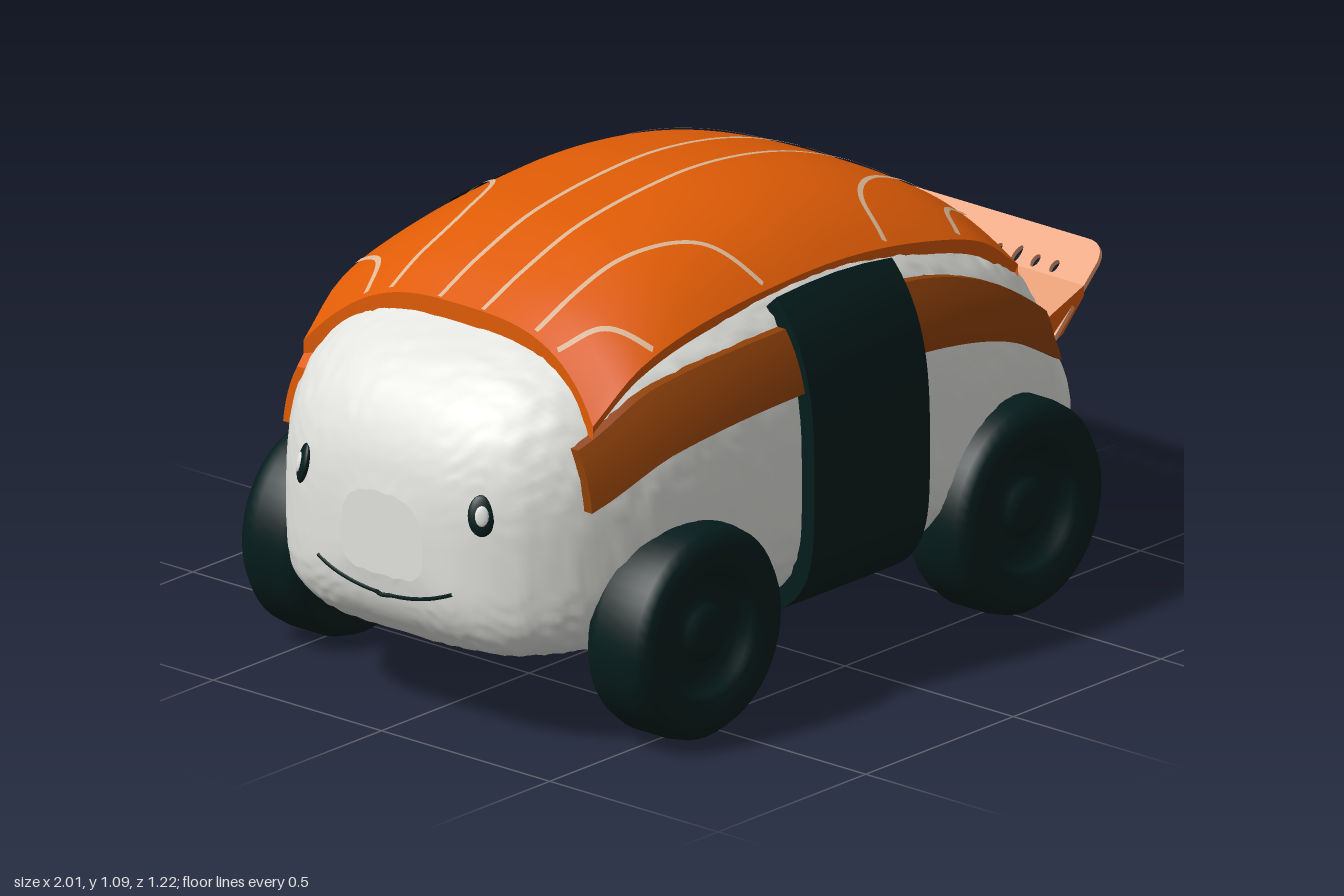
import * as THREE from 'three';
import { mergeVertices, toCreasedNormals } from 'three/addons/utils/BufferGeometryUtils.js';

const paint = (name, color) => {
  const m = new THREE.MeshStandardMaterial({ color, side: THREE.DoubleSide });
  m.name = name;
  return m;
};

// Smooth interpolation of column k in a table of rows [x, a, b, ...]
function interp(t, x, k = 1) {
  let i = 0;
  while (i < t.length - 2 && x > t[i + 1][0]) i++;
  const slope = j => {
    const a = t[Math.max(j - 1, 0)], b = t[Math.min(j + 1, t.length - 1)];
    return (b[k] - a[k]) / (b[0] - a[0]);
  };
  const d = t[i + 1][0] - t[i][0], s = Math.min(1, Math.max(0, (x - t[i][0]) / d));
  const s2 = s * s, s3 = s2 * s;
  return t[i][k] * (2 * s3 - 3 * s2 + 1) + t[i + 1][k] * (3 * s2 - 2 * s3)
    + slope(i) * d * (s3 - 2 * s2 + s) + slope(i + 1) * d * (s3 - s2);
}

// Body stations: x, top, bottom, half width
const BODY = [
  [-1, 0.57, 0.38, 0.12], [-0.985, 0.65, 0.31, 0.21], [-0.95, 0.735, 0.25, 0.3], [-0.9, 0.8, 0.21, 0.37],
  [-0.8, 0.87, 0.19, 0.445], [-0.6, 0.95, 0.18, 0.515], [-0.3, 1.02, 0.18, 0.555], [0, 1.04, 0.18, 0.565],
  [0.3, 0.99, 0.18, 0.555], [0.5, 0.92, 0.18, 0.53], [0.65, 0.855, 0.18, 0.495], [0.74, 0.78, 0.18, 0.465],
  [0.79, 0.66, 0.185, 0.445], [0.83, 0.59, 0.185, 0.43], [0.87, 0.555, 0.19, 0.405], [0.9, 0.49, 0.205, 0.35],
  [0.914, 0.41, 0.25, 0.22]];

function station(x) {
  const top = interp(BODY, x, 1), bot = interp(BODY, x, 2), w = interp(BODY, x, 3);
  return { top, bot, w, mid: bot + 0.4 * (top - bot) };
}
const ROUND_TOP = 2.9, ROUND_BOTTOM = 4;

// Point on the body cross-section at angle a, pushed out by off
function bodyPoint(x, a, off = 0) {
  const { top, bot, w, mid } = station(x);
  const c = Math.cos(a), s = Math.sin(a), e = 2 / (s > 0 ? ROUND_TOP : ROUND_BOTTOM);
  const h = (s > 0 ? top - mid : mid - bot) + off;
  return [x, mid + Math.sign(s) * Math.abs(s) ** e * h, Math.sign(c) * Math.abs(c) ** e * (w + off)];
}

// Half width of the body at height y
function bodyZ(x, y) {
  const { top, bot, w, mid } = station(x);
  const n = y > mid ? ROUND_TOP : ROUND_BOTTOM, f = Math.abs(y - mid) / (y > mid ? top - mid : mid - bot);
  return f >= 1 ? 0 : w * (1 - f ** n) ** (1 / n);
}

// Surface of the nose at a given y and z
function noseX(y, z) {
  let lo = -1, hi = -0.75;
  for (let i = 0; i < 25; i++) {
    const m = (lo + hi) / 2;
    if (bodyZ(m, y) < Math.abs(z)) lo = m; else hi = m;
  }
  return hi;
}

// Grid surface from fn(row, column) -> [x, y, z]
function grid(rows, cols, fn) {
  const pos = [], idx = [];
  for (let i = 0; i <= rows; i++) for (let j = 0; j <= cols; j++) pos.push(...fn(i, j));
  for (let i = 0; i < rows; i++) for (let j = 0; j < cols; j++) {
    const a = i * (cols + 1) + j, b = a + cols + 1;
    idx.push(a, a + 1, b, b, a + 1, b + 1);
  }
  const g = new THREE.BufferGeometry();
  g.setAttribute('position', new THREE.Float32BufferAttribute(pos, 3));
  g.setIndex(idx);
  return g;
}
const finish = (g, crease) => {
  if (crease) return toCreasedNormals(g, crease);
  g = mergeVertices(g, 1e-5);
  g.computeVertexNormals();
  return g;
};
const clamp01 = v => Math.min(1, Math.max(0, v));

// Fish slab: x, crown height, edge height, half width
const SLAB = [[-0.73, 0.945, 0.77, 0.43], [-0.6, 1.0, 0.87, 0.445], [-0.4, 1.06, 0.925, 0.45], [-0.1, 1.09, 0.95, 0.45],
  [0.1, 1.08, 0.945, 0.45], [0.3, 1.04, 0.915, 0.45], [0.5, 0.965, 0.855, 0.44], [0.65, 0.885, 0.75, 0.41]];
function slabPoint(x, v, lift = 0) {
  const crown = interp(SLAB, x, 1), edge = interp(SLAB, x, 2);
  return [x * (1 + 0.06 * v ** 4), crown - (crown - edge) * Math.abs(v) ** 3 + lift, v * interp(SLAB, x, 3)];
}
// Side strip: x, top, bottom
const STRIP = [[-0.81, 0.72, 0.58], [-0.6, 0.82, 0.68], [-0.2, 0.87, 0.73], [0.2, 0.865, 0.715],
  [0.5, 0.78, 0.65], [0.78, 0.61, 0.51]];

export function createModel() {
  const rice = paint('rice white', 0xe2e2de), fish = paint('salmon orange', 0xe05c06);
  const shade = paint('dark salmon', 0x8e4009), pale = paint('pale salmon', 0xf6aa80);
  const vein = paint('fat line', 0xdcb898), dark = paint('seaweed', 0x051c1c);
  const model = new THREE.Group();
  const add = (name, geo, mat, parent = model) => {
    const m = new THREE.Mesh(geo, mat);
    m.name = name;
    parent.add(m);
    return m;
  };

  // Rice body, slightly lumpy, with closed ends
  const R = 120, C = 160;
  add('riceBody', finish(grid(R + 2, C, (i, j) => {
    const x = -0.043 - 0.957 * Math.cos(Math.PI * clamp01((i - 1) / R));
    if (i === 0 || i === R + 2) return [x, station(x).mid, 0];
    const [, y, z] = bodyPoint(x, (j % C) / C * Math.PI * 2);
    const n = Math.sin(x * 71 + 3 * Math.sin(y * 29)) * Math.sin(y * 63 + 3 * Math.sin(z * 31 + x * 23))
      * Math.cos(z * 57 + 2 * Math.sin(x * 37));
    return [x, y + 0.004 * n * Math.sign(y - 0.5), z * (1 + 0.008 * n)];
  })), rice);

  // Fish slab on top, with a rim turned down to the rice
  add('fishSlab', finish(grid(42, 38, (i, j) => {
    const end = i === 0 || i === 42, flank = j === 0 || j === 38;
    return slabPoint(-0.73 + 1.38 * clamp01((i - 1) / 40), (clamp01((j - 1) / 36) * 2 - 1) * (flank ? 0.97 : 1),
      end ? -0.08 : flank ? -0.045 : 0);
  }), 0.7), fish);

  // Fat lines as flat ribbons on the slab: points are x and fraction of half width
  const lines = [[[-0.73, 0.15], [0, 0.15], [0.65, 0.15]],
    [[-0.72, 0.5], [-0.45, 0.52], [-0.27, 0.68], [-0.2, 0.98]], [[-0.72, 0.66], [-0.62, 0.75], [-0.55, 0.98]],
    [[0.19, 0.98], [0.25, 0.72], [0.4, 0.52], [0.65, 0.44]], [[0.43, 0.98], [0.5, 0.8], [0.65, 0.68]]];
  for (const side of [-1, 1]) for (const line of lines) {
    const path = new THREE.CatmullRomCurve3(line.map(([x, v]) => new THREE.Vector3(x, v * 0.45, 0)));
    add('fatLine', finish(grid(40, 2, (i, j) => {
      const p = path.getPoint(i / 40), t = path.getTangent(i / 40), o = (j - 1) * 0.006;
      return slabPoint(p.x - t.y * o, side * (p.y + t.x * o) / 0.45, 0.005);
    })), vein);
  }

  // Side strips following the body
  for (const side of [-1, 1]) add('sideStrip', finish(grid(42, 8, (i, j) => {
    const x = -0.81 + 1.59 * clamp01((i - 1) / 40), f = clamp01((j - 1) / 6);
    const y = interp(STRIP, x, 1) * (1 - f) + interp(STRIP, x, 2) * f;
    const rim = i === 0 || j === 0 || i === 42 || j === 8;
    return [x, y, side * (bodyZ(x, y) + (rim ? -0.01 : 0.024))];
  }), 0.7), side > 0 ? shade : fish);

  // Seaweed band, from the slab edges round the belly
  add('seaweedBand', finish(grid(6, 100, (i, j) => {
    const x = -0.215 + 0.39 * clamp01((i - 1) / 4), a0 = 0.74;
    return bodyPoint(x, a0 - (Math.PI + 2 * a0) * j / 100, i === 0 || i === 6 ? -0.01 : 0.037);
  }), 0.7), dark);

  // Curved belly plates with concave ends
  const belly = (name, mat, mid, flare, drop) => add(name, finish(grid(14, 28, (i, j) => {
    const v = j / 14 - 1, u = clamp01((i - 1) / 12) * 2 - 1, rim = i === 0 || i === 14;
    return [u * (mid + flare * v * v), rim ? 0.2 : 0.19 - drop * (1 - v * v), v * 0.42];
  }), 0.7), mat);
  belly('bellySeaweed', dark, 0.32, 0.12, 0.072);
  belly('bellyFish', pale, 0.55, 0.1, 0.066);

  // Tail fin with a row of small holes
  const fin = new THREE.Shape();
  fin.moveTo(-0.43, 0);
  fin.lineTo(-0.41, 0.24);
  fin.quadraticCurveTo(-0.4, 0.29, -0.35, 0.29);
  fin.lineTo(0.35, 0.29);
  fin.quadraticCurveTo(0.4, 0.29, 0.41, 0.24);
  fin.lineTo(0.43, 0);
  fin.quadraticCurveTo(0, 0.14, -0.43, 0);
  for (let i = 0; i < 12; i++) {
    const hole = new THREE.Path();
    hole.absellipse(-0.31 + i * 0.0564, 0.2, 0.01, i % 3 ? 0.017 : 0.026, 0, Math.PI * 2);
    fin.holes.push(hole);
  }
  const finGeo = new THREE.ExtrudeGeometry(fin, { depth: 0.012, bevelEnabled: false, curveSegments: 14 });
  const along = new THREE.Vector3(0.787, 0.617, 0), across = new THREE.Vector3(0, 0, 1);
  finGeo.applyMatrix4(new THREE.Matrix4().makeBasis(across, along, across.clone().cross(along)));
  add('tailFin', finGeo.translate(0.775, 0.525, 0), pale);

  // Thick fin root, orange at both ends
  const root = new THREE.Shape([[0.76, 0.52], [0.83, 0.55], [0.9, 0.62], [0.9, 0.645], [0.775, 0.6]]
    .map(p => new THREE.Vector2(...p)));
  add('finRoot', new THREE.ExtrudeGeometry(root, { depth: 0.84, bevelEnabled: false }).translate(0, 0, -0.42), [fish, pale]);

  // Wheels: rounded tyre, recessed rim and hub cap in one turned profile
  const profile = [[0, 0.075], [0.04, 0.073], [0.065, 0.06], [0.072, 0.045], [0.12, 0.045], [0.14, 0.07], [0.155, 0.083],
    [0.2, 0.09], [0.228, 0.083], [0.245, 0.062], [0.25, 0.03], [0.25, -0.05], [0.24, -0.08], [0.22, -0.09], [0, -0.09]];
  const tyre = new THREE.LatheGeometry(profile.map(p => new THREE.Vector2(...p)), 48);
  tyre.rotateX(Math.PI / 2);
  for (const side of [-1, 1]) for (const x of [-0.56, 0.525]) {
    const wheel = add('wheel', tyre, dark);
    wheel.position.set(x, 0.256, side * 0.518);
    if (side < 0) wheel.rotation.y = Math.PI;
  }

  // Eyes and smile on the nose
  for (const side of [-1, 1]) {
    const eye = new THREE.Group(), z = 0.265 * side;
    eye.name = 'eye';
    eye.position.set(noseX(0.57, z), 0.57, z);
    eye.lookAt(eye.position.clone().add(new THREE.Vector3(-0.75, 0.2, 0.62 * side)));
    add('eyeRing', new THREE.SphereGeometry(1, 24, 12).scale(0.032, 0.048, 0.012), dark, eye);
    add('eyeGlint', new THREE.SphereGeometry(1, 16, 8).scale(0.016, 0.024, 0.006), rice, eye).position.set(0, 0, 0.01);
    model.add(eye);
  }
  const smile = [];
  for (let i = 0; i <= 16; i++) {
    const z = (i / 8 - 1) * 0.2, y = 0.33 + 1.1 * z * z;
    smile.push(new THREE.Vector3(noseX(y, z), y, z));
  }
  add('smile', new THREE.TubeGeometry(new THREE.CatmullRomCurve3(smile), 40, 0.005, 6), dark);
  return model;
}
